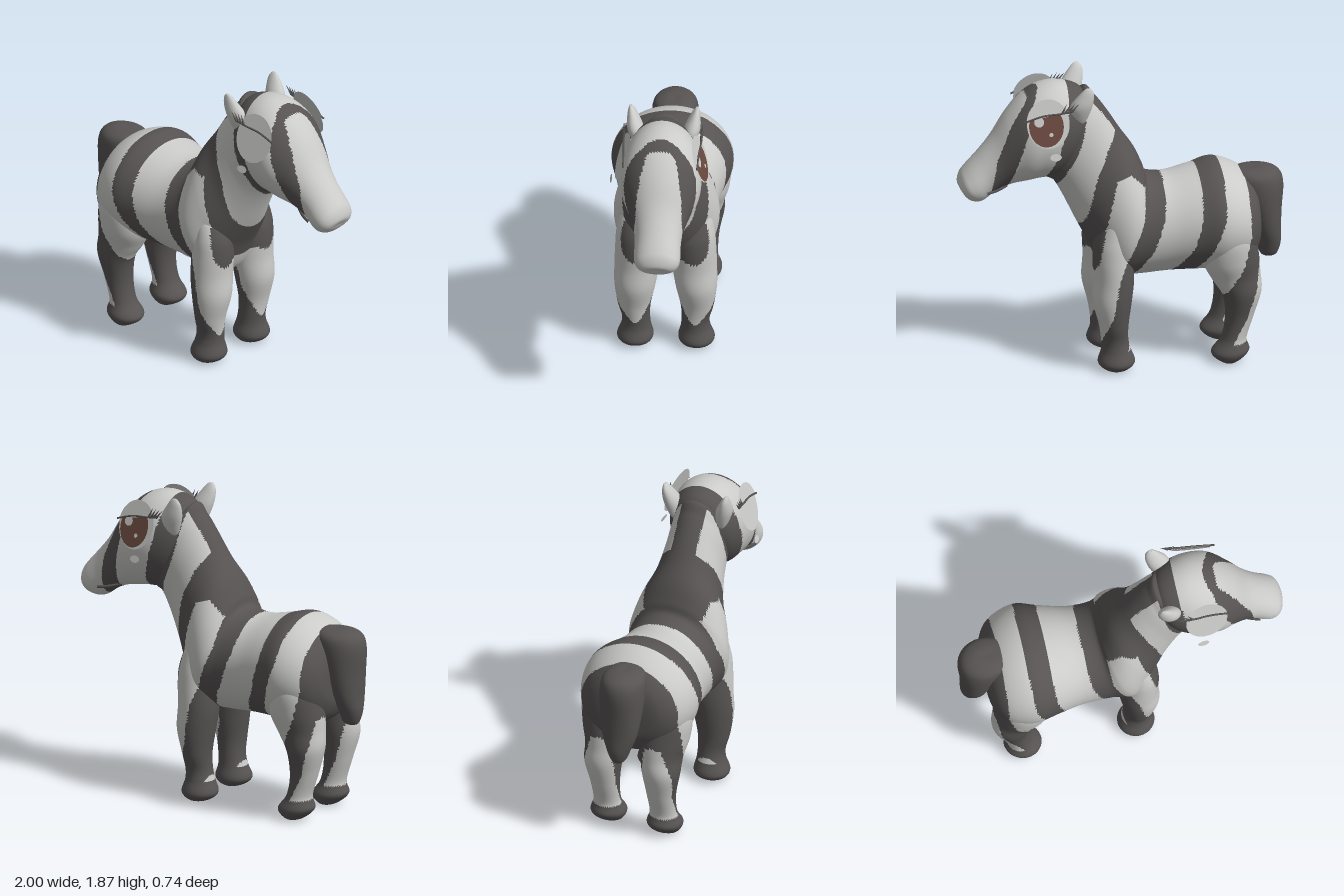
import * as THREE from 'three';

const mat = (name, color, side = THREE.FrontSide) => {
  const m = new THREE.MeshStandardMaterial({ color, side });
  m.name = name;
  return m;
};

// Dark stripes in side projection: rows of [y, xBack, xFront], falling in y
const STRIPES = [
  [[1.3, -1.1, -0.75], [0.85, -1, -0.75], [0.65, -0.81, -0.7], [0.5, -0.79, -0.62], [0.3, -0.73, -0.5], [0.12, -0.64, -0.5]],
  [[1.3, -0.61, -0.47], [1, -0.59, -0.455], [0.8, -0.52, -0.4], [0.6, -0.42, -0.28], [0.5, -0.38, -0.25]],
  [[1.33, -0.25, 0.03], [1.25, -0.25, -0.06], [1.18, -0.25, -0.12], [1, -0.23, -0.1], [0.8, -0.16, -0.02], [0.6, -0.05, 0.06],
    [0.4, -0.06, 0.09], [0.25, -0.06, 0.14], [0.12, 0, 0.16]],
  [[1.54, -0.1, 0.04], [1.42, -0.12, 0.11], [1.32, -0.2, 0.15], [1.25, 0.06, 0.18], [1, 0.12, 0.23], [0.85, 0.15, 0.3],
    [0.72, 0.175, 0.3], [0.66, 0.2, 0.3]],
  [[1.86, 0.2, 0.33], [1.6, 0.24, 0.37], [1.5, 0.26, 0.4], [1.4, 0.3, 0.43], [1.3, 0.35, 0.47], [1.15, 0.41, 0.51]],
  [[1.86, 0.49, 0.57], [1.77, 0.55, 0.585], [1.7, 0.57, 0.64], [1.6, 0.6, 0.7], [1.4, 0.66, 0.78], [1.2, 0.71, 0.81], [1.1, 0.73, 0.82]],
];

function isDark(x, y, z) {
  if (y < 0.13) return true; // hooves
  if (Math.abs(z) < 0.08 && y > 1.25 && x < 0.22 && y > 1.42 + 1.45 * x) return true; // crest
  if (Math.abs(z) < 0.2 && y > 0.69 && y < 0.86 && x > 0.13) return true; // chest band
  return STRIPES.some((rows) => {
    for (let i = 0; i < rows.length - 1; i++) {
      const [y0, a0, b0] = rows[i], [y1, a1, b1] = rows[i + 1];
      if (y > y0 || y < y1) continue;
      const t = (y0 - y) / (y0 - y1);
      return x > a0 + (a1 - a0) * t && x < b0 + (b1 - b0) * t;
    }
    return false;
  });
}

const spline = (a, b, c, d, t) =>
  0.5 * (2 * b + (c - a) * t + (2 * a - 5 * b + 4 * c - d) * t * t + (3 * b - a - 3 * c + d) * t * t * t);

// Smooth loft through elliptical sections [x1, y1, x2, y2, halfWidth, zCentre]
function loft(sections, steps, sides, dark) {
  const closed = ([x1, y1, x2, y2, , z = 0]) => [(x1 + x2) / 2, (y1 + y2) / 2, (x1 + x2) / 2, (y1 + y2) / 2, 0, z];
  const s = [closed(sections[0]), ...sections, closed(sections[sections.length - 1])];
  const at = (i) => s[Math.min(Math.max(i, 0), s.length - 1)];
  const pos = [], light = [], darkFaces = [];
  const rings = (s.length - 1) * steps;
  for (let r = 0; r <= rings; r++) {
    const i = Math.min(Math.floor(r / steps), s.length - 2), t = r / steps - i;
    const [x1, y1, x2, y2, w, z] = [0, 1, 2, 3, 4, 5].map((k) =>
      spline(at(i - 1)[k] || 0, at(i)[k] || 0, at(i + 1)[k] || 0, at(i + 2)[k] || 0, t));
    for (let j = 0; j < sides; j++) {
      const c = Math.cos((j / sides) * Math.PI * 2), q = Math.sin((j / sides) * Math.PI * 2);
      pos.push((x1 + x2) / 2 + ((x1 - x2) / 2) * c, Math.max(0, (y1 + y2) / 2 + ((y1 - y2) / 2) * c), z + Math.max(w, 0) * q);
    }
  }
  const face = (...f) => {
    const m = [0, 1, 2].map((k) => f.reduce((sum, v) => sum + pos[v * 3 + k], 0) / 3);
    (dark(...m) ? darkFaces : light).push(...f);
  };
  for (let r = 0; r < rings; r++) for (let j = 0; j < sides; j++) {
    const k = (j + 1) % sides, a = r * sides + j, b = r * sides + k;
    face(a, b, a + sides);
    face(b, b + sides, a + sides);
  }
  const g = new THREE.BufferGeometry();
  g.setAttribute('position', new THREE.Float32BufferAttribute(pos, 3));
  g.setIndex([...light, ...darkFaces]);
  g.addGroup(0, light.length, 0);
  g.addGroup(light.length, darkFaces.length, 1);
  g.computeVertexNormals();
  return g;
}

export function createModel() {
  const model = new THREE.Group();
  const pale = mat('paleCoat', 0xcbcbc9, THREE.DoubleSide);
  const dark = mat('darkCoat', 0x575353);
  const brown = mat('brownIris', 0x6b4a40, THREE.DoubleSide);
  const add = (parent, name, geo, material) => {
    const m = new THREE.Mesh(geo, material);
    m.name = name;
    parent.add(m);
    return m;
  };
  const coat = [pale, dark];

  // Trunk and neck
  add(model, 'bodyAndNeck', loft([
    [-0.84, 0.98, -0.84, 0.82, 0.1], [-0.81, 1.1, -0.83, 0.7, 0.23], [-0.72, 1.19, -0.76, 0.6, 0.325],
    [-0.58, 1.24, -0.6, 0.57, 0.37], [-0.44, 1.21, -0.44, 0.57, 0.335], [-0.28, 1.18, -0.28, 0.57, 0.3],
    [-0.16, 1.2, -0.08, 0.56, 0.295], [-0.13, 1.27, 0.1, 0.57, 0.32], [-0.08, 1.38, 0.2, 0.78, 0.28],
    [0, 1.5, 0.28, 0.94, 0.215], [0.08, 1.63, 0.35, 1.09, 0.185], [0.16, 1.74, 0.41, 1.2, 0.175],
    [0.23, 1.79, 0.47, 1.27, 0.16],
  ], 12, 104, isDark), coat);

  // Head
  add(model, 'head', loft([
    [0.2, 1.7, 0.22, 1.5, 0.1], [0.25, 1.8, 0.32, 1.33, 0.19], [0.38, 1.845, 0.42, 1.25, 0.235],
    [0.5, 1.83, 0.52, 1.235, 0.245], [0.6, 1.77, 0.58, 1.225, 0.235], [0.7, 1.66, 0.66, 1.21, 0.19],
    [0.79, 1.52, 0.72, 1.19, 0.155], [0.87, 1.42, 0.78, 1.16, 0.14], [0.95, 1.33, 0.85, 1.112, 0.14],
    [0.985, 1.28, 0.91, 1.112, 0.125], [0.997, 1.22, 0.95, 1.14, 0.08],
  ], 9, 88, isDark), coat);

  // Tail
  add(model, 'tail', loft([
    [-0.72, 1.18, -0.9, 1.185, 0.06], [-0.68, 1.15, -0.975, 1.15, 0.125], [-0.7, 1.05, -1, 1.07, 0.14],
    [-0.77, 0.9, -0.99, 0.92, 0.13], [-0.81, 0.78, -0.985, 0.78, 0.11], [-0.835, 0.68, -0.985, 0.68, 0.075],
    [-0.86, 0.61, -0.965, 0.61, 0.045], [-0.89, 0.592, -0.94, 0.592, 0.02],
  ], 4, 28, () => true), coat);

  const frontLeg = loft([
    [0.12, 1.0, 0, 1.0, 0.08, 0.18], [0.185, 0.86, -0.03, 0.86, 0.125, 0.17], [0.2, 0.75, -0.045, 0.72, 0.135, 0.17],
    [0.195, 0.6, -0.05, 0.58, 0.135, 0.175],
    [0.2, 0.45, -0.035, 0.45, 0.125, 0.185], [0.165, 0.3, -0.015, 0.3, 0.1, 0.19], [0.15, 0.2, -0.015, 0.2, 0.085, 0.18],
    [0.15, 0.13, -0.03, 0.13, 0.09, 0.18], [0.17, 0.05, -0.055, 0.05, 0.11, 0.185], [0.12, 0.005, 0, 0.005, 0.07, 0.185],
  ], 8, 48, isDark);
  const hindLeg = loft([
    [-0.52, 0.98, -0.72, 0.98, 0.1, 0.2], [-0.48, 0.82, -0.79, 0.84, 0.16, 0.19], [-0.475, 0.66, -0.815, 0.7, 0.16, 0.18],
    [-0.53, 0.54, -0.825, 0.58, 0.13, 0.18],
    [-0.595, 0.43, -0.83, 0.46, 0.115, 0.19], [-0.61, 0.28, -0.785, 0.3, 0.09, 0.185], [-0.585, 0.15, -0.74, 0.15, 0.085, 0.185],
    [-0.525, 0.06, -0.755, 0.07, 0.11, 0.185], [-0.58, 0.005, -0.68, 0.005, 0.07, 0.185],
  ], 8, 48, isDark);
  const ear = loft([
    [0.25, 1.62, 0.33, 1.66, 0.03, 0.15], [0.205, 1.73, 0.34, 1.74, 0.05, 0.17],
    [0.195, 1.82, 0.29, 1.82, 0.03, 0.19], [0.215, 1.865, 0.25, 1.865, 0.01, 0.2],
  ], 5, 20, () => false);

  const disc = (rx, ry, x, y, z) => new THREE.CircleGeometry(1, 32).scale(rx, ry, 1).translate(x, y, z);
  const line = (pts, r) => new THREE.TubeGeometry(new THREE.CatmullRomCurve3(pts.map((p) => new THREE.Vector3(...p))), 12, r, 6);
  const lid = new THREE.ShapeGeometry(new THREE.Shape().absarc(0, 0, 1, 0.14, 2.68, false), 32)
    .scale(0.132, 0.152, 1).translate(0, 0, 0.006);

  for (const side of [1, -1]) {
    const half = new THREE.Group();
    half.name = side > 0 ? 'nearSide' : 'farSide';
    half.scale.z = side;
    model.add(half);
    add(half, 'frontLeg', frontLeg, coat);
    add(half, 'hindLeg', hindLeg, coat);
    add(half, 'ear', ear, coat);
    add(half, 'mouthLine', line([[0.71, 1.215, 0.075], [0.77, 1.2, 0.105], [0.84, 1.19, 0.125]], 0.009), dark);

    // Eye, leaning outward at the bottom
    const eye = new THREE.Group();
    eye.name = 'eye';
    eye.position.set(0.485, 1.67, 0.235);
    eye.rotation.set(-0.31, 0.1, 0);
    half.add(eye);
    add(eye, 'eyeball', disc(0.13, 0.15, 0, 0, 0), pale);
    if (side < 0) add(eye, 'iris', disc(0.105, 0.125, 0.012, -0.015, 0.003), brown);
    add(eye, 'largeHighlight', disc(0.03, 0.03, 0.055, 0.015, 0.009), pale);
    add(eye, 'smallHighlight', disc(0.013, 0.013, -0.015, -0.065, 0.009), pale);
    add(eye, 'cheekSpot', disc(0.035, 0.022, -0.035, -0.205, 0.006), pale);
    add(eye, 'eyelid', lid, pale);
    add(eye, 'lashLine', line([[-0.15, 0.068, 0.008], [-0.08, 0.058, 0.01], [0.03, 0.05, 0.01], [0.145, 0.018, 0.008]], 0.006), dark);
    for (let i = 0; i < 4; i++) {
      const lash = add(eye, 'eyelash', new THREE.ConeGeometry(0.008, 0.07, 6), dark);
      lash.position.set(-0.17 + 0.022 * i, 0.09, 0.015);
      lash.rotation.set(0.2, 0, 0.75 - 0.1 * i);
    }
  }
  return model;
}
